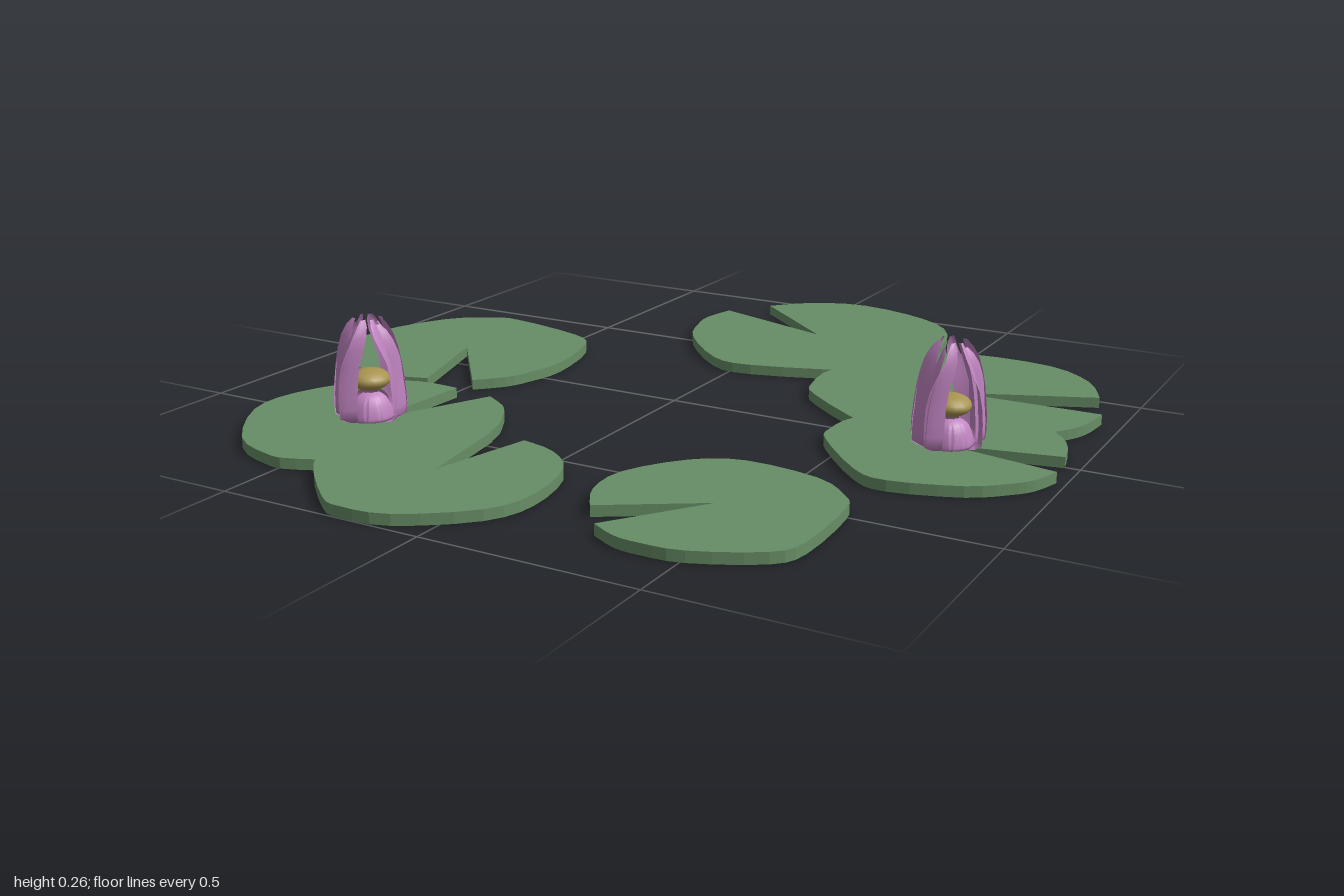
import * as THREE from 'three';

const leafGreen = new THREE.MeshStandardMaterial({ color: 0x678d65 });
leafGreen.name = 'leaf green';
const petalPink = new THREE.MeshStandardMaterial({ color: 0xc084c0, side: THREE.DoubleSide });
petalPink.name = 'petal pink';
const stamenOchre = new THREE.MeshStandardMaterial({ color: 0xa89450 });
stamenOchre.name = 'stamen ochre';

const PAD_HEIGHT = 0.025;
const rad = THREE.MathUtils.degToRad;

// Rim of a leaf as [degrees from the middle of the notch, radius]
const RIM = [[-11, 0.305], [-27, 0.305], [-41, 0.297], [-62, 0.295], [-97, 0.314], [-116, 0.307], [-160, 0.305],
  [-175, 0.313], [-200, 0.307], [-240, 0.308], [-267, 0.308], [-302, 0.312], [-327, 0.306], [-349, 0.292]];

// One notched leaf; dir is the heading of the notch, flip mirrors the rim
function lilyPad({ x, z, size, dir, flip = 1 }) {
  const knots = RIM.map(([deg, r]) => {
    const a = rad(dir + flip * deg);
    return new THREE.Vector2(r * size * Math.cos(a), r * size * Math.sin(a));
  });
  const rim = new THREE.SplineCurve(knots).getPoints(39);
  const shape = new THREE.Shape([new THREE.Vector2(0, 0), ...rim]);
  const geo = new THREE.ExtrudeGeometry(shape, { depth: PAD_HEIGHT, bevelEnabled: false });
  geo.rotateX(Math.PI / 2);
  const pad = new THREE.Mesh(geo, leafGreen);
  pad.position.set(x, PAD_HEIGHT, z);
  pad.name = 'lilyPad';
  return pad;
}

// Side profile shared by all petals: distance from the axis and height
const petalProfile = new THREE.SplineCurve([
  [0.035, 0], [0.07, 0.008], [0.073, 0.045], [0.069, 0.1], [0.062, 0.16], [0.05, 0.21], [0.032, 0.24],
].map(([r, y]) => new THREE.Vector2(r, y)));

// A petal at a heading (degrees), turned by tilt about its length; its upper part swings round by bend degrees
function petal({ heading, tilt, height, spread, bend }) {
  const geo = new THREE.PlaneGeometry(2, 1, 2, 10);
  const pos = geo.attributes.position;
  for (let i = 0; i < pos.count; i++) {
    const t = pos.getY(i) + 0.5;
    const u = pos.getX(i);
    const p = petalProfile.getPoint(t);
    const w = u * (0.003 + 0.019 * Math.pow(Math.sin(Math.PI * (0.12 + 0.86 * t)), 0.7));
    const across = w * Math.cos(tilt);
    const out = p.x * spread + w * Math.sin(tilt) - 0.004 * u * u;
    const a = rad(heading + bend * THREE.MathUtils.smoothstep(t, 0.5, 0.9));
    pos.setXYZ(i, across * Math.cos(a) + out * Math.sin(a), p.y * height, out * Math.cos(a) - across * Math.sin(a));
  }
  geo.computeVertexNormals();
  const mesh = new THREE.Mesh(geo, petalPink);
  mesh.name = 'petal';
  return mesh;
}

function flower(x, z) {
  const group = new THREE.Group();
  group.name = 'flower';
  for (const side of [0, 180]) {
    // Tall petals in two facing clusters that close over the gaps at the top
    for (let i = -2; i <= 2; i++) {
      group.add(petal({
        heading: 133 + side + i * 20, tilt: i % 2 ? 0.6 : -0.6, height: i % 2 ? 0.94 : 1, spread: 1, bend: i * 15,
      }));
    }
    // Short petals under the stamens in the gap between the clusters
    for (const offset of [-35, 0, 35]) {
      group.add(petal({ heading: 45 + side + offset, tilt: 0, height: 0.28, spread: 0.75, bend: 0 }));
    }
  }
  // Round stamen cushion
  const heart = new THREE.Mesh(new THREE.SphereGeometry(1, 20, 10), stamenOchre);
  heart.scale.set(0.048, 0.025, 0.048);
  heart.position.y = 0.094;
  heart.name = 'stamens';
  group.add(heart);
  group.position.set(x, PAD_HEIGHT, z);
  return group;
}

export function createModel() {
  const model = new THREE.Group();
  model.name = 'waterLilies';

  // Leaves floating in a ring
  const pads = [
    { x: -0.67, z: -0.067, size: 1, dir: 62 },
    { x: 0.083, z: -0.642, size: 1.15, dir: 210 },
    { x: 0.605, z: -0.323, size: 1.14, dir: -11.7, flip: -1 },
    { x: 0.718, z: 0.055, size: 0.87, dir: -0.5, flip: -1 },
    { x: 0.443, z: 0.615, size: 0.85, dir: 136.5 },
    { x: -0.161, z: 0.73, size: 0.86, dir: -88 },
    { x: -0.49, z: 0.529, size: 0.985, dir: -75.5, flip: -1 },
  ];
  for (const p of pads) model.add(lilyPad(p));

  // Two blossoms
  model.add(flower(-0.5, 0.528), flower(0.72, 0.055));
  return model;
}
